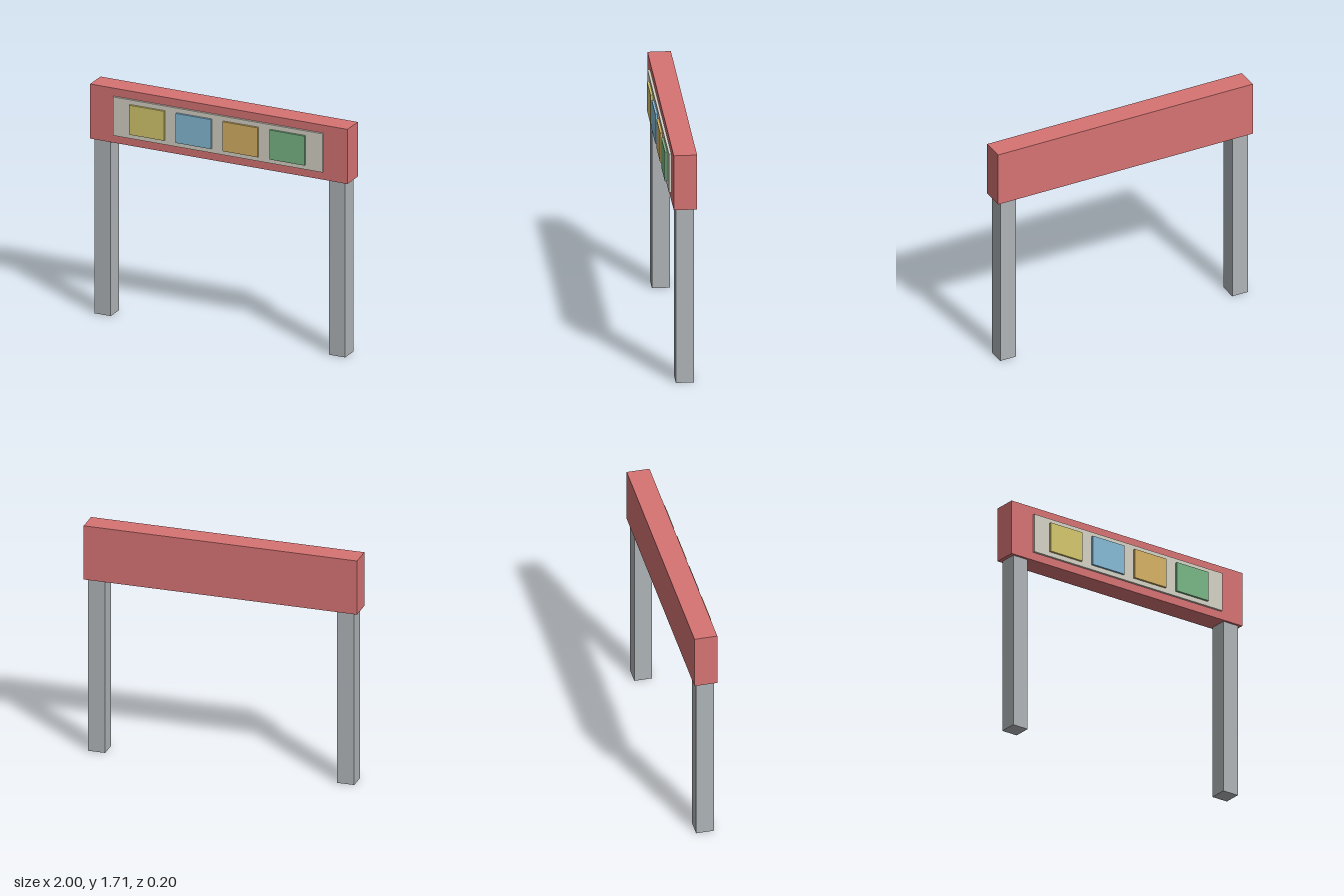
import * as THREE from 'three';

const material = (name, color) => {
  const m = new THREE.MeshStandardMaterial({ color });
  m.name = name;
  return m;
};

// Box given by its lower and upper limits on each axis
function box(name, mat, [x0, x1], [y0, y1], [z0, z1]) {
  const mesh = new THREE.Mesh(new THREE.BoxGeometry(x1 - x0, y1 - y0, z1 - z0), mat);
  mesh.position.set((x0 + x1) / 2, (y0 + y1) / 2, (z0 + z1) / 2);
  mesh.name = name;
  return mesh;
}

export function createModel() {
  const model = new THREE.Group();
  model.name = 'bannerGate';

  const red = material('red', 0xd67373);
  const grey = material('grey', 0xafb4b7);
  const cream = material('cream', 0xd5d2c5);

  // Two square posts under the beam
  for (const side of [-1, 1]) {
    const x = side * 0.911;
    model.add(box(side > 0 ? 'leftPost' : 'rightPost', grey,
      [x - 0.0625, x + 0.0625], [0, 1.3], [-0.08, 0.048]));
  }

  // Header beam and the board on its front
  model.add(box('headerBeam', red, [-1, 1], [1.3, 1.706], [-0.098, 0.065]));
  model.add(box('signBoard', cream, [-0.815, 0.815], [1.36, 1.647], [0.065, 0.082]));

  // Row of four coloured tiles, from the model's right to its left
  const tiles = [['yellow', 0xd5c76e], ['blue', 0x86bbd6], ['orange', 0xd6b264], ['green', 0x79b686]];
  tiles.forEach(([name, color], i) => {
    const x = (i - 1.5) * 0.364;
    model.add(box(name + 'Tile', material(name, color),
      [x - 0.137, x + 0.137], [1.394, 1.613], [0.082, 0.098]));
  });

  return model;
}
